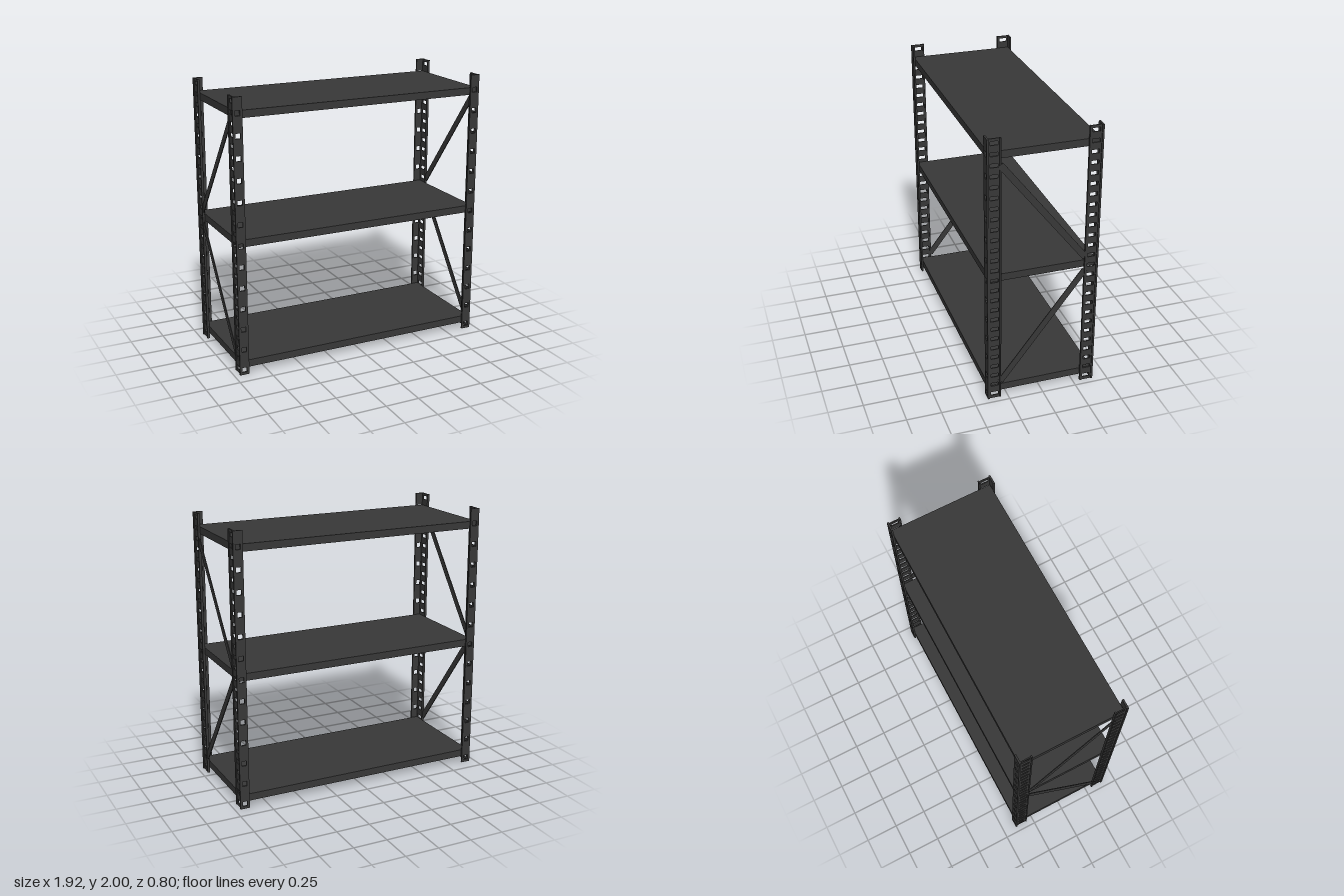
import * as THREE from 'three';

const H = 2, PITCH = 0.0772, FIRST = 0.037;
const steel = new THREE.MeshStandardMaterial({ color: 0x383838 });

// Upright strip centred on x and z, standing on y = 0, with a column of rectangular holes
function perforatedStrip(width, thickness, holeW, holeH, count, pitch) {
  const rect = (Path, x, y, w, h) => {
    const p = new Path();
    p.moveTo(x - w / 2, y - h / 2);
    p.lineTo(x + w / 2, y - h / 2);
    p.lineTo(x + w / 2, y + h / 2);
    p.lineTo(x - w / 2, y + h / 2);
    p.closePath();
    return p;
  };
  const shape = rect(THREE.Shape, 0, H / 2, width, H);
  for (let i = 0; i < count; i++) {
    shape.holes.push(rect(THREE.Path, 0, FIRST + i * pitch, holeW, holeH));
  }
  const geo = new THREE.ExtrudeGeometry(shape, { depth: thickness, bevelEnabled: false });
  return geo.translate(0, 0, -thickness / 2);
}

export function createModel() {
  const group = new THREE.Group();
  const add = (parent, name, geo, x, y, z) => {
    const mesh = new THREE.Mesh(geo, steel);
    mesh.name = name;
    mesh.position.set(x, y, z);
    parent.add(mesh);
    return mesh;
  };

  // Four angle posts: perforated face, perforated web and a small stiffening lip
  const faceGeo = perforatedStrip(0.07, 0.013, 0.036, 0.036, 13, PITCH * 2);
  const webGeo = perforatedStrip(0.09, 0.008, 0.054, 0.027, 26, PITCH).rotateY(-Math.PI / 2);
  const lipGeo = new THREE.BoxGeometry(0.018, H, 0.01);
  for (const sx of [1, -1]) {
    for (const sz of [1, -1]) {
      const post = new THREE.Group();
      post.name = `${sz > 0 ? 'front' : 'back'}${sx > 0 ? 'Left' : 'Right'}Post`;
      add(post, 'postFace', faceGeo, sx * 0.925, 0, sz * 0.3915);
      add(post, 'postWeb', webGeo, sx * 0.949, 0, sz * 0.347);
      add(post, 'postLip', lipGeo, sx * 0.949, H / 2, sz * 0.305);
      group.add(post);
    }
  }

  // Three shelves
  const shelfGeo = new THREE.BoxGeometry(1.884, 0.053, 0.77);
  ['bottomShelf', 'middleShelf', 'topShelf'].forEach((name, i) => {
    add(group, name, shelfGeo, 0, 0.075 + i * 0.902, 0);
  });

  // Diagonal flat braces on both ends, given as [front y, back y]
  for (const sx of [1, -1]) {
    for (const [name, yFront, yBack] of [['upperBrace', 1.81, 1.03], ['lowerBrace', 0.13, 0.93]]) {
      const dy = yFront - yBack, dz = 0.61;
      const geo = new THREE.BoxGeometry(0.006, 0.046, Math.hypot(dy, dz));
      const brace = add(group, name, geo, sx * 0.951, (yFront + yBack) / 2, 0);
      brace.rotation.x = -Math.atan2(dy, dz);
    }
  }
  return group;
}
